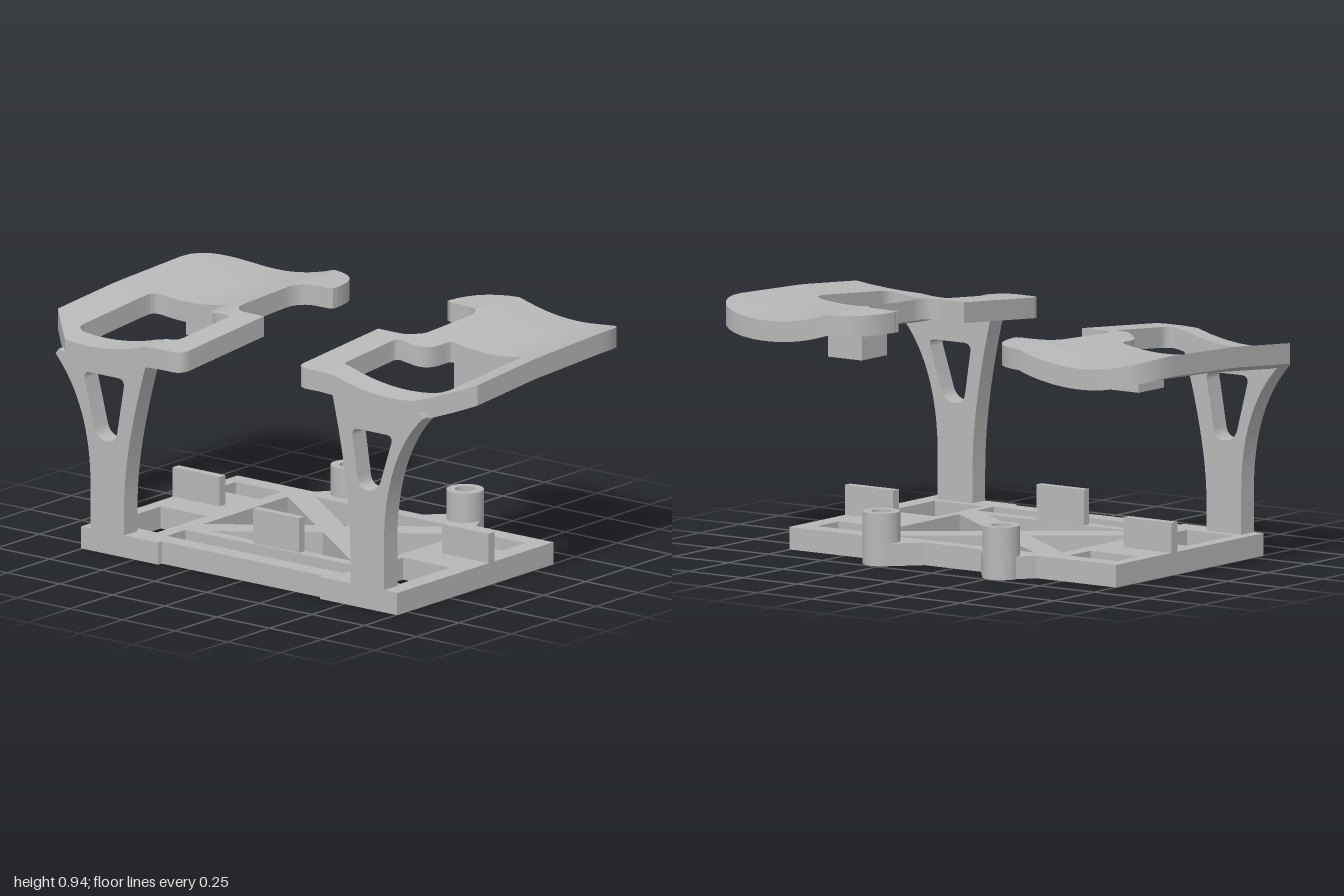
import * as THREE from 'three';
import { toCreasedNormals } from 'three/addons/utils/BufferGeometryUtils.js';

const grey = new THREE.MeshStandardMaterial({ color: 0xb8b8b8 });
grey.name = 'plain grey';

function add(group, name, geometry) {
  const mesh = new THREE.Mesh(geometry, grey);
  mesh.name = name;
  group.add(mesh);
  return mesh;
}

function box(group, name, x0, x1, y0, y1, z0, z1) {
  const mesh = add(group, name, new THREE.BoxGeometry(x1 - x0, y1 - y0, z1 - z0));
  mesh.position.set((x0 + x1) / 2, (y0 + y1) / 2, (z0 + z1) / 2);
  return mesh;
}

// Polygon whose corners [x, y, r] are rounded by r
function trace(path, corners) {
  const n = corners.length;
  corners.forEach(([x, y, r = 0], i) => {
    const toward = ([a, b]) => {
      const d = Math.hypot(a - x, b - y);
      return [x + (a - x) * r / d, y + (b - y) * r / d];
    };
    const a = toward(corners[(i + n - 1) % n]);
    const b = toward(corners[(i + 1) % n]);
    if (i) path.lineTo(...a); else path.moveTo(...a);
    if (r) path.quadraticCurveTo(x, y, ...b);
  });
  path.closePath();
  return path;
}

const rect = (x0, x1, z0, z1) => [[x0, z0], [x1, z0], [x1, z1], [x0, z1]];

// Plan shape (x, z) extruded downwards from height top
function slab(shape, top, thickness, curveSegments = 8) {
  const g = new THREE.ExtrudeGeometry(shape, { depth: thickness, bevelEnabled: false, curveSegments });
  return g.rotateX(Math.PI / 2).translate(0, top, 0);
}

// Bisect long edges so a flat slab can be bent
function subdivide(geometry, limit) {
  const p = geometry.toNonIndexed().attributes.position;
  const out = [];
  const split = (a, b, c) => {
    const ab = a.distanceTo(b), bc = b.distanceTo(c), ca = c.distanceTo(a);
    const m = Math.max(ab, bc, ca);
    if (m < limit) {
      for (const v of [a, b, c]) out.push(v.x, v.y, v.z);
    } else if (m === ab) {
      const q = a.clone().add(b).multiplyScalar(0.5);
      split(a, q, c); split(q, b, c);
    } else if (m === bc) {
      const q = b.clone().add(c).multiplyScalar(0.5);
      split(a, b, q); split(a, q, c);
    } else {
      const q = c.clone().add(a).multiplyScalar(0.5);
      split(a, b, q); split(q, b, c);
    }
  };
  const v = (i) => new THREE.Vector3().fromBufferAttribute(p, i);
  for (let i = 0; i < p.count; i += 3) split(v(i), v(i + 1), v(i + 2));
  const g = new THREE.BufferGeometry();
  g.setAttribute('position', new THREE.Float32BufferAttribute(out, 3));
  return g;
}

// Top height of a shelf: a gentle rise along x and a trough along z
const RISE = [[-0.56, 0.875], [-0.39, 0.89], [-0.05, 0.92], [0.36, 0.938], [0.56, 0.935]];
function shelfHeight(x, z) {
  let i = 0;
  while (i < 3 && x > RISE[i + 1][0]) i++;
  const [x0, y0] = RISE[i], [x1, y1] = RISE[i + 1];
  const t = (Math.abs(z) - 0.72) / 0.28;
  return y0 + (y1 - y0) * (x - x0) / (x1 - x0) - 0.046 * Math.max(0, 1 - t * t);
}

function makeShelf(group, s, drop, shift) {
  const side = (pts, o) => pts.map(([x, z, r]) => [x, s * (z + o), r]);
  const shape = trace(new THREE.Shape(), [
    ...side([[-0.56, 0.272, 0.05], [-0.56, 0.83], [-0.39, 1], [0.555, 1, 0.22], [0.555, 0.272, 0.22], [0.33, 0.272, 0.03]], 0),
    ...side([[0.33, 0.45, 0.09], [-0.075, 0.45, 0.08]], shift),
    ...side([[-0.075, 0.272]], 0),
  ]);
  shape.holes.push(trace(new THREE.Path(), side([
    [-0.455, 0.405, 0.04], [-0.135, 0.405, 0.02], [-0.125, 0.535, 0.09],
    [0.02, 0.545, 0.02], [0.02, 0.89, 0.04], [-0.455, 0.89, 0.06],
  ], shift)));
  const g = subdivide(slab(shape, 0, 0.078), 0.07);
  const p = g.attributes.position;
  for (let i = 0; i < p.count; i++) {
    p.setY(i, p.getY(i) + shelfHeight(p.getX(i), p.getZ(i)) - drop);
  }
  add(group, 'shelf', toCreasedNormals(g, 0.5));

  // Lug under the shelf
  const zs = [s * (0.555 - shift / 2), s * (0.71 - shift / 2)].sort((a, b) => a - b);
  box(group, 'shelfLug', 0.022, 0.18, 0.705, 0.84 - drop, zs[0], zs[1]);
}

// Flared leg with a rounded triangular window
function makeLeg(group, s, drop, o) {
  const top = 0.805 - drop;
  const shape = new THREE.Shape();
  shape.moveTo(s * (0.53 + o), 0.05);
  shape.lineTo(s * (0.69 + o), 0.05);
  shape.lineTo(s * (0.69 + o), 0.25);
  shape.quadraticCurveTo(s * (0.69 + o), 0.6 - drop, s * 0.875, top - 0.03);
  shape.lineTo(s * 0.86, top - 0.01);
  shape.quadraticCurveTo(s * 0.7, top - 0.055, s * 0.44, top + 0.01);
  shape.quadraticCurveTo(s * (0.53 + o), 0.46 - drop, s * (0.53 + o), 0.2);
  shape.closePath();
  const low = 0.455 - drop / 2;
  shape.holes.push(trace(new THREE.Path(), [
    [s * (0.535 + o / 2), 0.685, 0.035], [s * (0.735 + o / 2), 0.685, 0.035],
    [s * (0.66 + o), low, 0.05], [s * (0.57 + o), low, 0.04],
  ]));
  const g = new THREE.ExtrudeGeometry(shape, { depth: 0.08, bevelEnabled: false, curveSegments: 16 });
  g.rotateY(-Math.PI / 2).translate(-0.48, 0, 0);
  add(group, 'leg', toCreasedNormals(g, 0.5));
}

function makeBase(group) {
  const H = 0.085;
  const frame = trace(new THREE.Shape(), [
    [-0.56, -0.753], [0.365, -0.753], [0.365, 0.753], [-0.56, 0.753],
    [-0.56, 0.385], [-0.54, 0.385], [-0.54, -0.385], [-0.56, -0.385],
  ]);
  const openings = [rect(-0.465, -0.355, -0.42, 0.42), rect(-0.31, 0.31, -0.42, 0.42)];
  for (const [z0, z1] of [[-0.7, -0.48], [0.455, 0.68]]) {
    openings.push(rect(-0.45, -0.155, z0, z1), rect(0.155, 0.29, z0, z1));
  }
  for (const o of openings) frame.holes.push(trace(new THREE.Path(), o));
  add(group, 'baseFrame', slab(frame, H, H));

  // Crossed braces
  for (const s of [-1, 1]) {
    const brace = box(group, 'crossBrace', -0.52, 0.52, 0, H, -0.05, 0.05);
    brace.rotation.y = s * Math.atan2(0.42, 0.31);
  }

  // Upright tabs
  box(group, 'middleTab', -0.345, -0.313, 0.05, 0.218, -0.107, 0.113);
  for (const s of [-1, 1]) {
    const zs = [s * 0.53, s * 0.753].sort((a, b) => a - b);
    box(group, 'endTab', -0.018, 0.017, 0.05, 0.198, zs[0], zs[1]);
  }

  // Screw bosses on tapered lugs
  for (const [s, z] of [[1, 0.284], [-1, -0.268]]) {
    const hole = () => new THREE.Path().absarc(0.425, z, 0.038, 0, Math.PI * 2, true);
    const boss = new THREE.Shape().absarc(0.425, z, 0.07, 0, Math.PI * 2, false);
    boss.holes.push(hole());
    add(group, 'screwBoss', toCreasedNormals(slab(boss, 0.198, 0.198, 32), 0.5));
    const lug = trace(new THREE.Shape(), [
      [0.33, s * 0.385], [0.365, s * 0.385], [0.43, z + s * 0.069],
      [0.49, z], [0.475, z - s * 0.05], [0.365, s * 0.13], [0.33, s * 0.13],
    ]);
    lug.holes.push(hole());
    add(group, 'bossLug', slab(lug, H, H, 32));
  }
}

export function createModel() {
  const model = new THREE.Group();
  model.name = 'standWithTwoShelves';
  const base = new THREE.Group();
  base.name = 'base';
  makeBase(base);
  model.add(base);

  // The back shelf sits a little lower than the front one
  for (const [name, s, drop, shift, o] of [
    ['frontSupport', 1, 0, 0, 0], ['backSupport', -1, 0.045, -0.022, 0.018],
  ]) {
    const support = new THREE.Group();
    support.name = name;
    makeLeg(support, s, drop, o);
    makeShelf(support, s, drop, shift);
    model.add(support);
  }
  return model;
}
